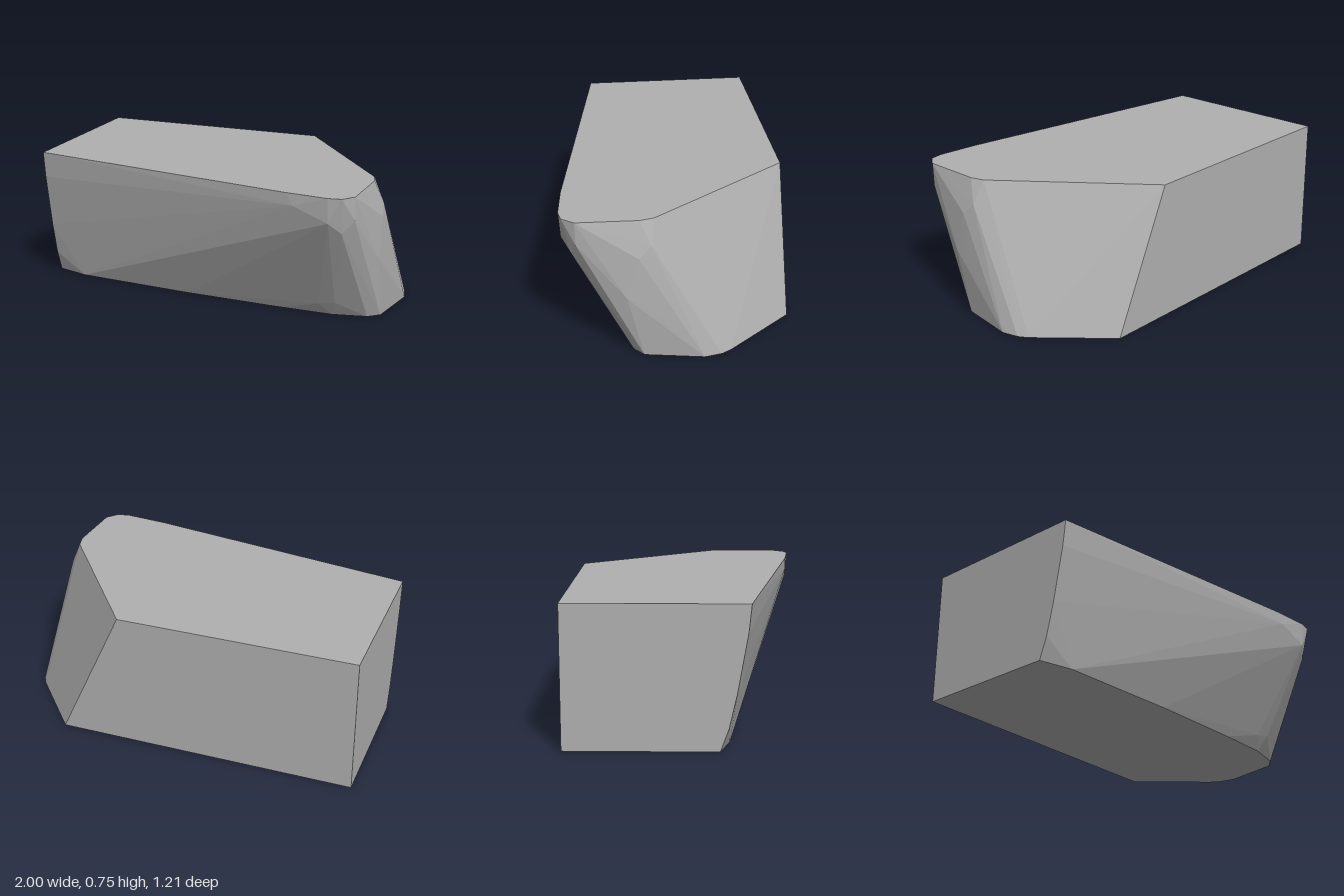
import * as THREE from 'three';
import { ConvexGeometry } from 'three/addons/geometries/ConvexGeometry.js';

const HEIGHT = 0.745;

// Outlines as [x, z]
const topOutline = [
  [-1, -0.605], [0.3, -0.605], [0.87, 0.135], [0.89, 0.21], [0.88, 0.53],
  [0.83, 0.593], [0.76, 0.605], [0.53, 0.582], [-1, 0.335],
];
const bottomOutline = [
  [-1, -0.605], [0.645, -0.605], [0.95, -0.25], [0.98, -0.2], [1, -0.11],
  [0.945, 0.195], [0.885, 0.245], [0.7, 0.285], [0.4, 0.288], [-0.15, 0.275],
  [-0.82, 0.235], [-1, 0.185],
];

// Bulging points between the outlines as [x, y, z]
const leadingCorner = [
  [0.57, 0.68, 0.586], [0.76, 0.61, 0.595], [0.73, 0.47, 0.525],
  [0.56, 0.36, 0.455], [0.57, 0.21, 0.375], [0.73, 0.09, 0.335],
  [0.64, 0.07, 0.33], [0.82, 0.55, 0.55], [0.82, 0.23, 0.365],
  [0.88, 0.62, 0.525], [0.95, 0.34, 0.28], [0.96, 0.3, 0.19],
  [0.945, 0.56, 0.22], [0.93, 0.62, 0.155],
];
const straightEnd = [[-1, 0.12, 0.228], [-1, 0.3, 0.268], [-1, 0.6, 0.32]];

export function createModel() {
  const stone = new THREE.MeshStandardMaterial({ color: 0xb0b0b0 });
  stone.name = 'stone grey';

  const points = [
    ...topOutline.map(([x, z]) => new THREE.Vector3(x, HEIGHT, z)),
    ...bottomOutline.map(([x, z]) => new THREE.Vector3(x, 0, z)),
    ...[...leadingCorner, ...straightEnd].map((p) => new THREE.Vector3(...p)),
  ];

  // Faceted solid block wrapped around all the points
  const block = new THREE.Mesh(new ConvexGeometry(points), stone);
  block.name = 'block';

  const model = new THREE.Group();
  model.name = 'facetedBlock';
  model.add(block);
  return model;
}
